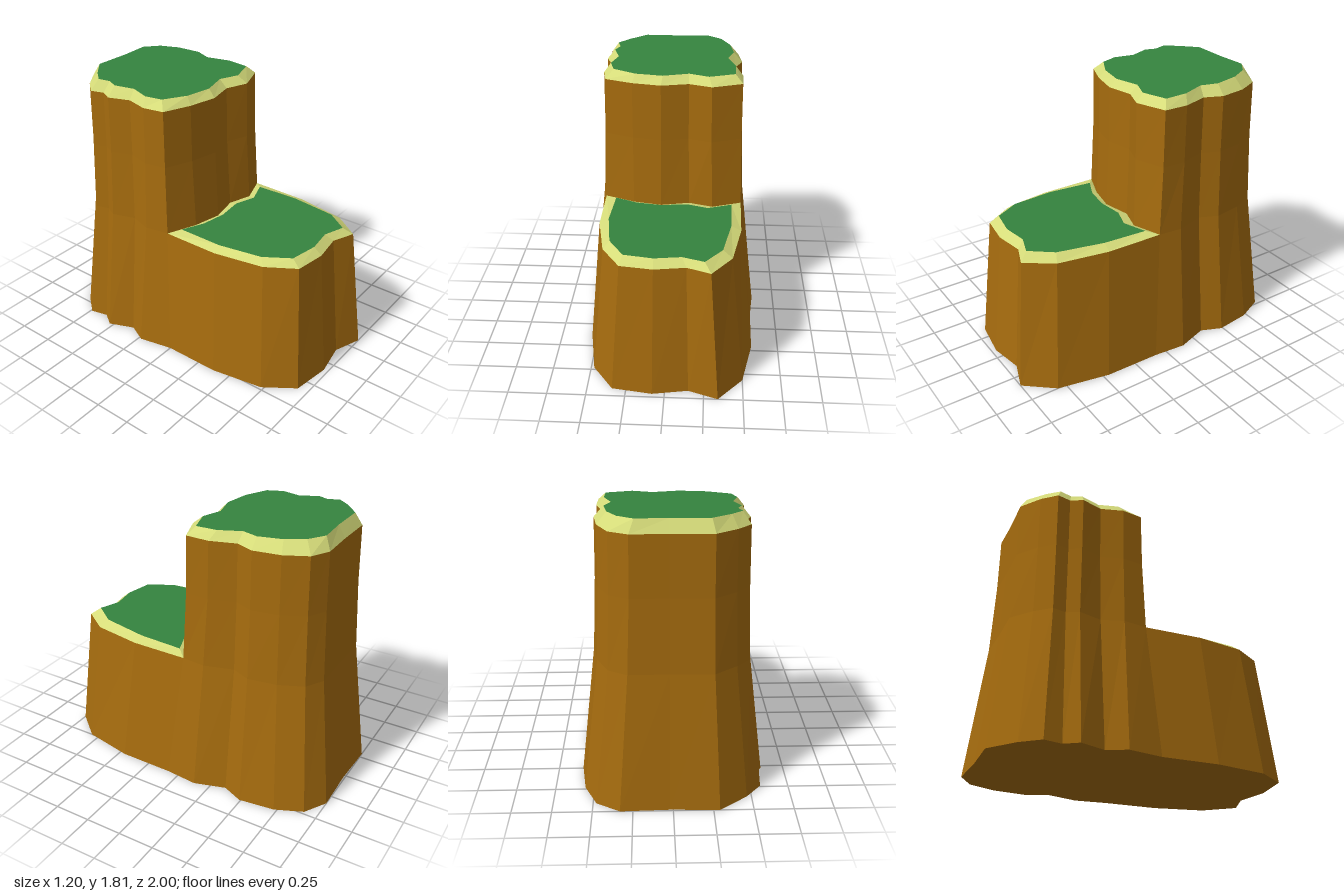
import * as THREE from 'three';

const brown = new THREE.MeshStandardMaterial({ color: 0xa66c0e });
brown.name = 'earthBrown';
const lime = new THREE.MeshStandardMaterial({ color: 0xd6dc7a });
lime.name = 'paleLime';
const green = new THREE.MeshStandardMaterial({ color: 0x35843f });
green.name = 'grassGreen';

// Outlines are [x, z] loops, starting at the back left and running round by the right side.
const footOutline = [
  [-0.29, -1], [0.02, -0.99], [0.33, -1], [0.48, -0.91], [0.56, -0.73], [0.59, -0.49], [0.53, -0.35], [0.595, -0.14], [0.575, 0.08],
  [0.57, 0.46], [0.5, 0.81], [0.34, 1], [0.15, 0.93], [-0.08, 0.97], [-0.34, 0.93], [-0.48, 0.73], [-0.54, 0.38],
  [-0.54, 0], [-0.59, -0.23], [-0.53, -0.36], [-0.6, -0.53], [-0.54, -0.62], [-0.57, -0.74], [-0.47, -0.86]];
const ledgeOutline = [
  [-0.25, -0.9], [0.02, -0.895], [0.27, -0.9], [0.39, -0.83], [0.46, -0.67], [0.49, -0.48], [0.435, -0.355], [0.49, -0.16], [0.475, 0],
  [0.47, 0.39], [0.41, 0.73], [0.28, 0.91], [0.13, 0.85], [-0.07, 0.88], [-0.28, 0.85], [-0.4, 0.66], [-0.46, 0.33],
  [-0.46, -0.06], [-0.49, -0.22], [-0.445, -0.365], [-0.495, -0.52], [-0.455, -0.6], [-0.48, -0.69], [-0.39, -0.79]];
const towerFront = [[0.28, 0.07], [0.12, 0.02], [-0.07, 0.06], [-0.26, 0.02]];
const towerRim = [
  [-0.24, -0.875], [0.02, -0.87], [0.25, -0.875], [0.37, -0.81], [0.44, -0.66], [0.465, -0.48], [0.415, -0.36], [0.465, -0.19], [0.46, -0.03],
  [0.26, 0.045], [0.11, -0.01], [-0.07, 0.03], [-0.26, -0.01],
  [-0.44, -0.08], [-0.465, -0.22], [-0.425, -0.37], [-0.475, -0.51], [-0.435, -0.59], [-0.46, -0.68], [-0.375, -0.775]];
const towerGrass = [
  [-0.22, -0.83], [0.02, -0.825], [0.22, -0.835], [0.32, -0.76], [0.38, -0.64], [0.405, -0.48], [0.365, -0.37], [0.415, -0.22], [0.41, -0.07],
  [0.24, -0.015], [0.11, -0.065], [-0.06, -0.02], [-0.24, -0.05],
  [-0.39, -0.13], [-0.42, -0.24], [-0.38, -0.37], [-0.42, -0.5], [-0.39, -0.57], [-0.41, -0.65], [-0.34, -0.73]];
const ledgeGrass = [
  [0.41, 0.07], [0.405, 0.38], [0.35, 0.7], [0.24, 0.85], [0.1, 0.8], [-0.07, 0.825], [-0.26, 0.79], [-0.36, 0.62], [-0.4, 0.32],
  [-0.385, 0], [-0.24, 0.07], [-0.07, 0.1], [0.11, 0.08], [0.25, 0.13]];

const flat = (y) => () => y;
const towerSlope = (z) => 1.779 - 0.037 * z;
const ledgeSlope = (z) => 0.897 + 0.033 * z;
const ring = (outline, height) => outline.map(([x, z]) => [x, height(z), z]);

function facetedMesh(name, points, material) {
  const geometry = new THREE.BufferGeometry();
  geometry.setAttribute('position', new THREE.Float32BufferAttribute(points.flat(), 3));
  geometry.computeVertexNormals(); // unshared corners keep every facet flat
  const mesh = new THREE.Mesh(geometry, material);
  mesh.name = name;
  return mesh;
}

// Walls joining each ring to the one above it
function loft(name, rings, material) {
  const points = [];
  for (let r = 0; r + 1 < rings.length; r++) {
    const low = rings[r], high = rings[r + 1];
    low.forEach((p, i) => {
      const j = (i + 1) % low.length;
      points.push(low[j], p, high[i], low[j], high[i], high[j]);
    });
  }
  return facetedMesh(name, points, material);
}

// Fan filling a ring from a point inside it
function cap(name, loop, center, material, up = true) {
  const points = [];
  loop.forEach((p, i) => {
    const q = loop[(i + 1) % loop.length];
    points.push(center, ...(up ? [q, p] : [p, q]));
  });
  return facetedMesh(name, points, material);
}

export function createModel() {
  const group = new THREE.Group();
  group.name = 'steppedCliff';

  const foot = ring(footOutline, flat(0));
  const ledgeLevel = ring(ledgeOutline, flat(0.88));

  // The tower shares the back and side corners of the base
  const towerOutline = [...ledgeOutline.slice(0, 9), ...towerFront, ...ledgeOutline.slice(17)];
  const waist = towerOutline.map(([x, z], i) => [
    THREE.MathUtils.lerp(x, towerRim[i][0], 0.8), THREE.MathUtils.lerp(z, towerRim[i][1], 0.8)]);
  const towerTop = ring(towerRim, flat(1.73));
  const towerTurf = ring(towerGrass, towerSlope);

  // The ledge runs round the front and back along the tower wall
  const ledgeRim = ring([...ledgeOutline.slice(8, 18), ...[...towerFront].reverse()], flat(0.88));
  const ledgeTurf = ring(ledgeGrass, ledgeSlope);

  group.add(
    loft('baseWall', [foot, ledgeLevel], brown),
    cap('underside', foot, [0, 0, 0], brown, false),
    loft('towerWall', [ring(towerOutline, flat(0.88)), ring(waist, flat(1.35)), towerTop], brown),
    loft('towerRim', [towerTop, towerTurf], lime),
    cap('towerGrass', towerTurf, [0, towerSlope(-0.42), -0.42], green),
    loft('ledgeRim', [ledgeRim, ledgeTurf], lime),
    cap('ledgeGrass', ledgeTurf, [0, ledgeSlope(0.45), 0.45], green),
  );
  return group;
}
